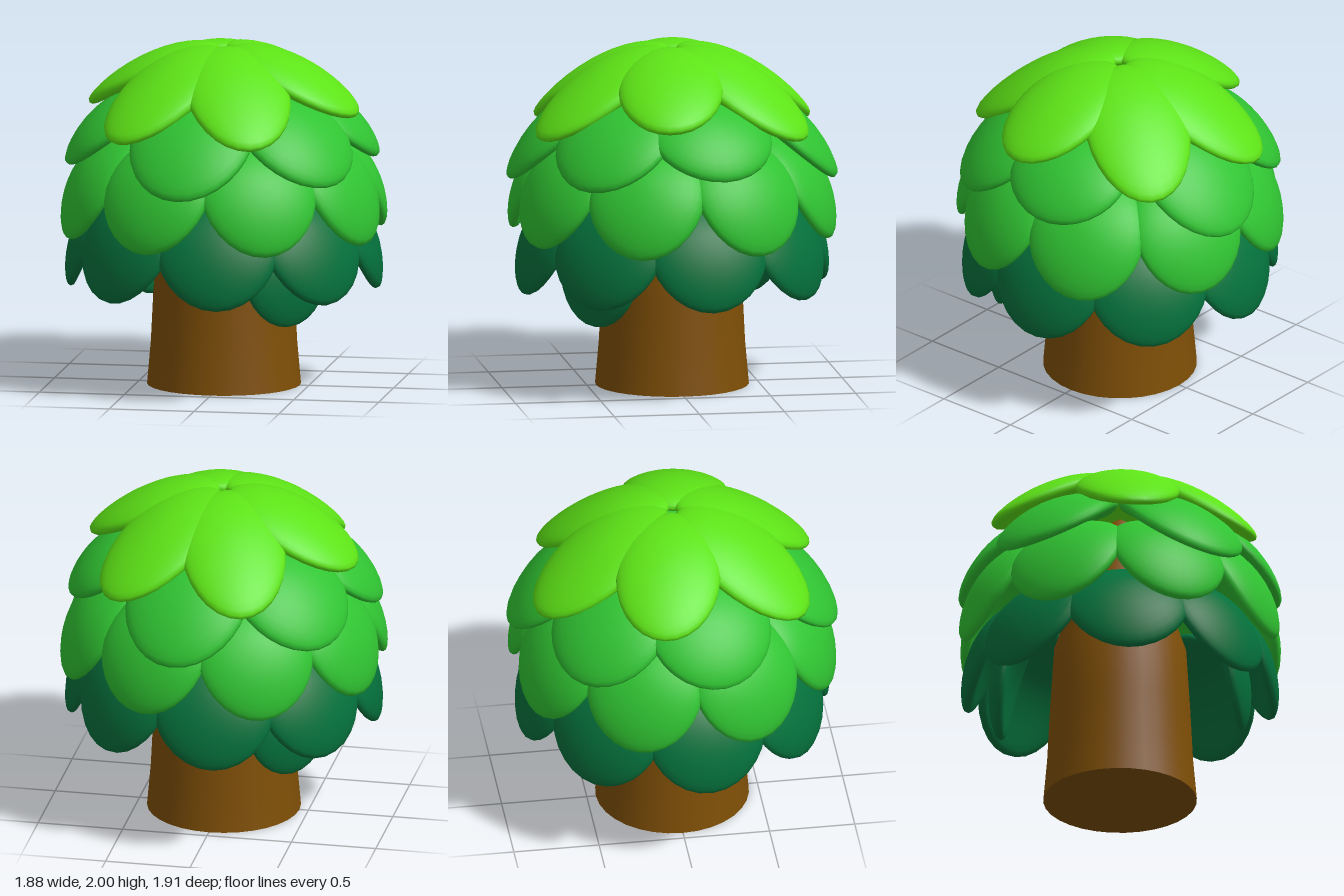
import * as THREE from 'three';
import { mergeVertices } from 'three/addons/utils/BufferGeometryUtils.js';

const mat = (name, color) => {
  const m = new THREE.MeshStandardMaterial({ color });
  m.name = name;
  return m;
};

// Puffy leaf: a flattened sphere laid along a curve of (radius, height) points and cupped across
function leafGeometry(points, halfWidth, halfThick) {
  const curve = new THREE.QuadraticBezierCurve(...points.map(([r, y]) => new THREE.Vector2(r, y)));
  const geo = new THREE.SphereGeometry(1, 32, 18);
  const pos = geo.attributes.position;
  for (let i = 0; i < pos.count; i++) {
    const x = pos.getX(i), y = pos.getY(i), z = pos.getZ(i);
    const t = THREE.MathUtils.clamp((z + 1) / 2, 0, 1);
    const p = curve.getPoint(t), d = curve.getTangent(t);
    const angle = x * halfWidth * (1 + 0.15 * z) / 0.9;
    const lift = Math.sign(y) * Math.pow(Math.abs(y), 0.75) * halfThick;
    const across = (0.9 + lift) * Math.sin(angle);
    const normal = (0.9 + lift) * Math.cos(angle) - 0.9;
    pos.setXYZ(i, across, p.y + d.x * normal, p.x - d.y * normal);
  }
  geo.deleteAttribute('uv');
  geo.deleteAttribute('normal');
  const out = mergeVertices(geo, 1e-5);
  out.computeVertexNormals();
  return out;
}

export function createModel() {
  const root = new THREE.Group();
  root.name = 'tree';
  const bark = mat('bark brown', 0x7f4f06);
  const lime = mat('lime green', 0x5de316);
  const green = mat('leaf green', 0x30c432);
  const dark = mat('deep green', 0x04713c);

  // Trunk, flared at the foot and narrowing inside the crown
  const trunk = new THREE.Mesh(new THREE.LatheGeometry([
    [0, 0], [0.447, 0], [0.447, 0], [0.425, 0.25], [0.41, 0.55], [0.385, 0.95], [0.25, 1.35], [0.08, 1.75], [0, 1.8],
  ].map(([r, y]) => new THREE.Vector2(r, y)), 32), bark);
  trunk.name = 'trunk';
  root.add(trunk);

  // Leaf rings: leaves are [direction in degrees from +x towards +z, raise of the tip]
  const rings = [
    { name: 'topLeaves', material: lime, width: 0.305, thick: 0.068,
      points: [[0.03, 1.96], [0.4, 1.96], [0.87, 1.51]],
      leaves: [[10, 0.11], [70, 0], [126, 0], [191, 0.1], [252, 0], [308, 0]] },
    { name: 'upperLeaves', material: green, width: 0.37, thick: 0.068,
      points: [[0.2, 1.74], [0.68, 1.74], [0.95, 1.22]],
      leaves: [[97, 0], [40, 0.05], [-12, 0.12], [-82, 0], [-138, 0.05], [168, 0.08]] },
    { name: 'middleLeaves', material: green, width: 0.345, thick: 0.068,
      points: [[0.42, 1.53], [0.88, 1.42], [0.93, 0.89]],
      leaves: [110, 65, 20, -25, -70, -115, -160, 155].map((a) => [a, 0]) },
    { name: 'lowerLeaves', material: dark, width: 0.36, thick: 0.065,
      points: [[0.45, 1.2], [0.86, 1.1], [0.89, 0.57]],
      leaves: [83, 38, -7, -52, -97, -142, 173, 128].map((a) => [a, 0]) },
    { name: 'hangingLeaves', material: dark, width: 0.29, thick: 0.06,
      points: [[0.5, 1.08], [0.76, 0.9], [0.7, 0.43]],
      leaves: [[48, 0], [-135, 0]] },
  ];

  for (const { name, material, width, thick, points, leaves } of rings) {
    const ring = new THREE.Group();
    ring.name = name;
    leaves.forEach(([deg, raise], i) => {
      const [a, b, c] = points;
      const tip = [c[0] - raise * 0.5, c[1] + raise];
      const leaf = new THREE.Mesh(leafGeometry([a, b, tip], width, thick), material);
      leaf.name = `leaf${i + 1}`;
      leaf.rotation.y = THREE.MathUtils.degToRad(90 - deg);
      ring.add(leaf);
    });
    root.add(ring);
  }
  return root;
}
